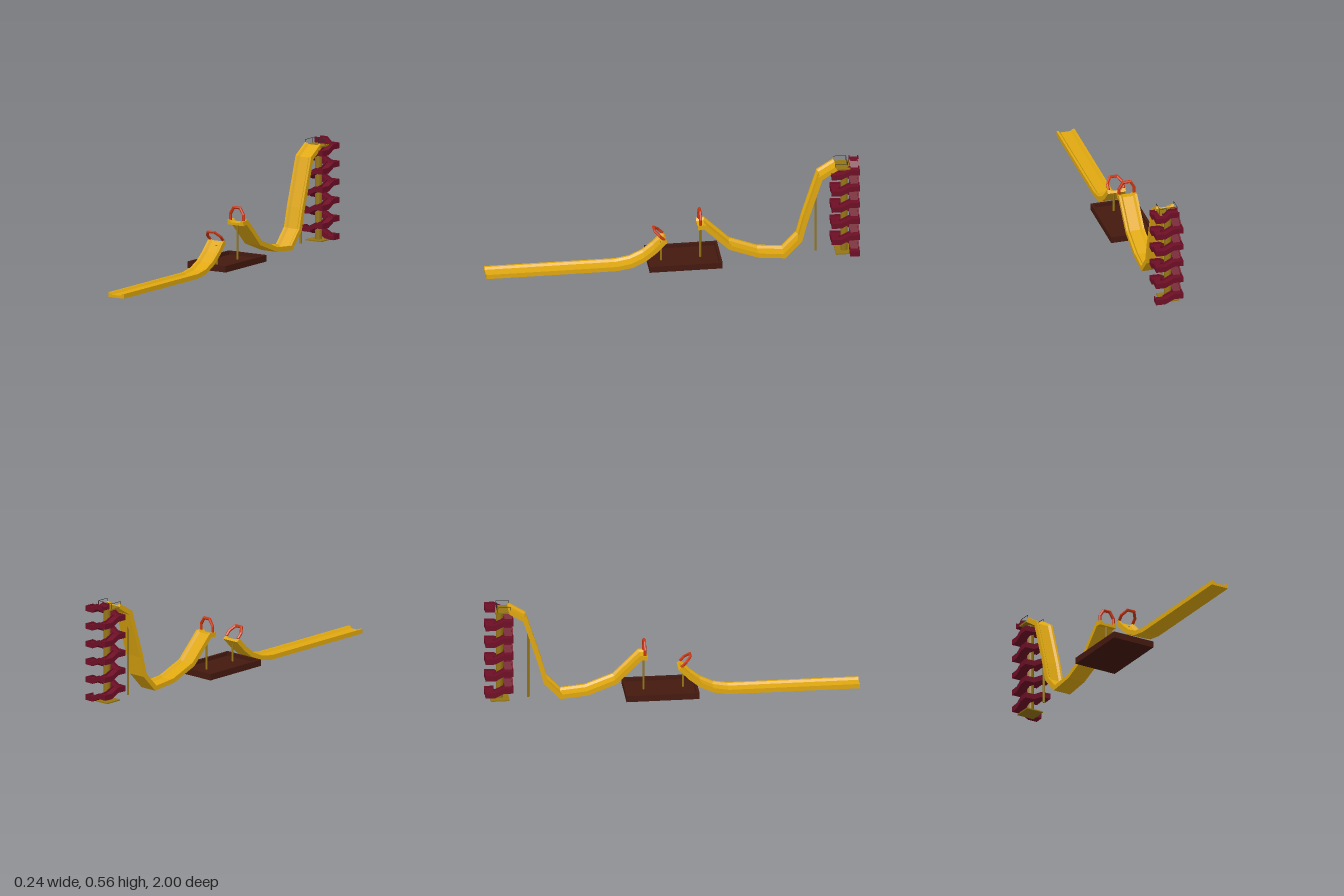
import * as THREE from 'three';

const V = (x, y, z) => new THREE.Vector3(x, y, z);
const paint = (color) => new THREE.MeshStandardMaterial({ color, flatShading: true });
const yellow = paint(0xe0a810);
const ochre = paint(0x957514);
const maroon = paint(0x6e0f26);
const red = paint(0xcc3610);
const brown = paint(0x45190f);
const wire = paint(0x333333);

function add(group, name, geometry, material, x = 0, y = 0, z = 0) {
  const mesh = new THREE.Mesh(geometry, material);
  mesh.name = name;
  mesh.position.set(x, y, z);
  group.add(mesh);
  return mesh;
}

// Skin a closed profile over a list of sections, with capped ends
function loft(sections, profile) {
  const out = [];
  const tri = (...points) => points.forEach((p) => out.push(p.x, p.y, p.z));
  const n = profile.length;
  for (let k = 0; k < sections.length - 1; k++) {
    const a = sections[k], b = sections[k + 1];
    for (let i = 0; i < n; i++) {
      const j = (i + 1) % n;
      tri(a[i], a[j], b[j]);
      tri(a[i], b[j], b[i]);
    }
  }
  const outline = profile.map(([u, v]) => new THREE.Vector2(u, v));
  const first = sections[0], last = sections[sections.length - 1];
  for (const [a, b, c] of THREE.ShapeUtils.triangulateShape(outline, [])) {
    tri(first[c], first[b], first[a]);
    tri(last[a], last[b], last[c]);
  }
  const geometry = new THREE.BufferGeometry();
  geometry.setAttribute('position', new THREE.Float32BufferAttribute(out, 3));
  geometry.computeVertexNormals();
  return geometry;
}

// Sweep a profile along a flat path with mitred bends; u is the path plane's normal
function sweep(path, u, profile) {
  const normals = path.slice(1).map((p, i) => p.clone().sub(path[i]).normalize().cross(u));
  const sections = path.map((p, i) => {
    const a = normals[Math.max(i - 1, 0)];
    const b = normals[Math.min(i, normals.length - 1)];
    const v = a.clone().add(b).normalize();
    v.divideScalar(v.dot(a));
    return profile.map(([s, t]) => p.clone().addScaledVector(u, s).addScaledVector(v, t));
  });
  return loft(sections, profile);
}

// Square spiral of level corner landings joined by short ramps
function spiralGeometry() {
  const h = 0.049, w = 0.026, drop = 0.0245;
  const profile = [[-w, 0], [w, 0], [w, 0.03], [w - 0.006, 0.03], [w - 0.006, 0.02],
    [-w + 0.006, 0.02], [-w + 0.006, 0.03], [-w, 0.03]];
  const dirs = [V(1, 0, 0), V(0, 0, 1), V(-1, 0, 0), V(0, 0, -1)];
  const corners = [[h, -h], [h, h], [-h, h], [-h, -h]];
  const sections = [];
  const cut = (p, u) => sections.push(profile.map(([s, t]) =>
    p.clone().addScaledVector(u, s).add(V(0, t, 0))));
  const up = V(0, 1, 0);
  const rear = up.clone().cross(dirs[0]);
  cut(V(-0.052, 0.535, -h), rear);
  cut(V(-0.005, 0.535, -h), rear);
  for (let i = 0; i <= 20; i++) {
    const [x, z] = corners[i % 4];
    const p = V(x, 0.51 - drop * i, z);
    const d = dirs[i % 4], e = dirs[(i + 1) % 4];
    const u1 = up.clone().cross(d), u2 = up.clone().cross(e);
    cut(p.clone().addScaledVector(d, -w), u1);
    cut(p, u1.clone().add(u2));
    cut(p.clone().addScaledVector(e, w), u2);
  }
  return loft(sections, profile);
}

export function createModel() {
  const model = new THREE.Group();
  model.name = 'waterSlide';
  const cx = 0.005;

  // Two chutes sharing one trough profile, given as [z, y] points
  const trough = [[-0.05, -0.0125], [0.05, -0.0125], [0.05, 0.0125], [0.038, 0.0125],
    [0.028, 0.0015], [-0.028, 0.0015], [-0.038, 0.0125], [-0.05, 0.0125]];
  const chutes = {
    upperChute: [[-0.872, 0.537], [-0.787, 0.483], [-0.706, 0.227], [-0.677, 0.115],
      [-0.595, 0.028], [-0.457, 0.041], [-0.304, 0.099], [-0.17, 0.232], [-0.132, 0.229]],
    lowerChute: [[0.041, 0.16], [0.096, 0.104], [0.15, 0.06], [0.22, 0.026],
      [0.3, 0.0125], [1, 0.0125]],
  };
  for (const [name, points] of Object.entries(chutes)) {
    const path = points.map(([z, y]) => V(cx, y, z));
    add(model, name, sweep(path, V(1, 0, 0), trough), yellow);
  }

  // Arched hoops at the facing chute ends
  const hex = Array.from({ length: 6 }, (_, i) =>
    [0.008 * Math.cos(i * Math.PI / 3), 0.008 * Math.sin(i * Math.PI / 3)]);
  const hoopPath = [[-0.042, -0.005], [-0.042, 0.03], [-0.02, 0.066], [0.02, 0.066],
    [0.042, 0.03], [0.042, -0.005]].map(([x, y]) => V(x, y, 0));
  const hoop = sweep(hoopPath, V(0, 0, 1), hex);
  add(model, 'upperHoop', hoop, red, cx, 0.244, -0.147);
  add(model, 'lowerHoop', hoop, red, cx, 0.17, 0.05).rotation.x = 0.8;

  // Support posts: x, z, bottom, top
  for (const [x, z, y0, y1] of [[-0.005, -0.767, 0.02, 0.405], [cx, -0.15, 0.03, 0.23],
    [0.015, 0.061, 0.03, 0.141]]) {
    add(model, 'supportPost', new THREE.CylinderGeometry(0.006, 0.006, y1 - y0, 10),
      ochre, x, (y0 + y1) / 2, z);
  }

  // Shallow pool with a raised rim
  const rect = (shape, x, z) => shape.moveTo(-x, -z).lineTo(x, -z).lineTo(x, z).lineTo(-x, z).closePath();
  const rim = rect(new THREE.Shape(), 0.122, 0.195);
  rim.holes.push(rect(new THREE.Path(), 0.108, 0.181));
  const rimGeometry = new THREE.ExtrudeGeometry(rim, { depth: 0.035, bevelEnabled: false });
  rimGeometry.rotateX(-Math.PI / 2);
  add(model, 'poolRim', rimGeometry, brown, 0, 0.015, -0.06);
  add(model, 'poolFloor', new THREE.BoxGeometry(0.22, 0.015, 0.366), brown, 0, 0.0227, -0.06);

  // Tower: base, column, platform and spiral stair
  const tower = new THREE.Group();
  tower.name = 'tower';
  model.add(tower);
  add(tower, 'basePlate', new THREE.BoxGeometry(0.1, 0.006, 0.1), ochre, cx, 0.02, -0.92);
  add(tower, 'column', new THREE.CylinderGeometry(0.019, 0.019, 0.51, 16), ochre, cx, 0.275, -0.919);
  add(tower, 'platform', new THREE.BoxGeometry(0.1, 0.008, 0.08), ochre, cx, 0.53, -0.907);
  add(tower, 'spiralStair', spiralGeometry(), maroon, 0.0125, 0, -0.922).rotation.y = -0.05;

  // Thin guard rails on both sides of the platform
  const bar = (sx, sy, sz, x, y, z) =>
    add(tower, 'guardRail', new THREE.BoxGeometry(sx, sy, sz), wire, x, y, z);
  for (const side of [-1, 1]) {
    const x = cx + side * 0.048;
    bar(0.002, 0.002, 0.07, x, 0.562, -0.9);
    for (const z of [-0.934, -0.866]) bar(0.002, 0.032, 0.002, x, 0.547, z);
    bar(0.036, 0.002, 0.002, x - side * 0.018, 0.562, -0.934);
    bar(0.002, 0.032, 0.002, x - side * 0.036, 0.547, -0.934);
  }
  return model;
}
